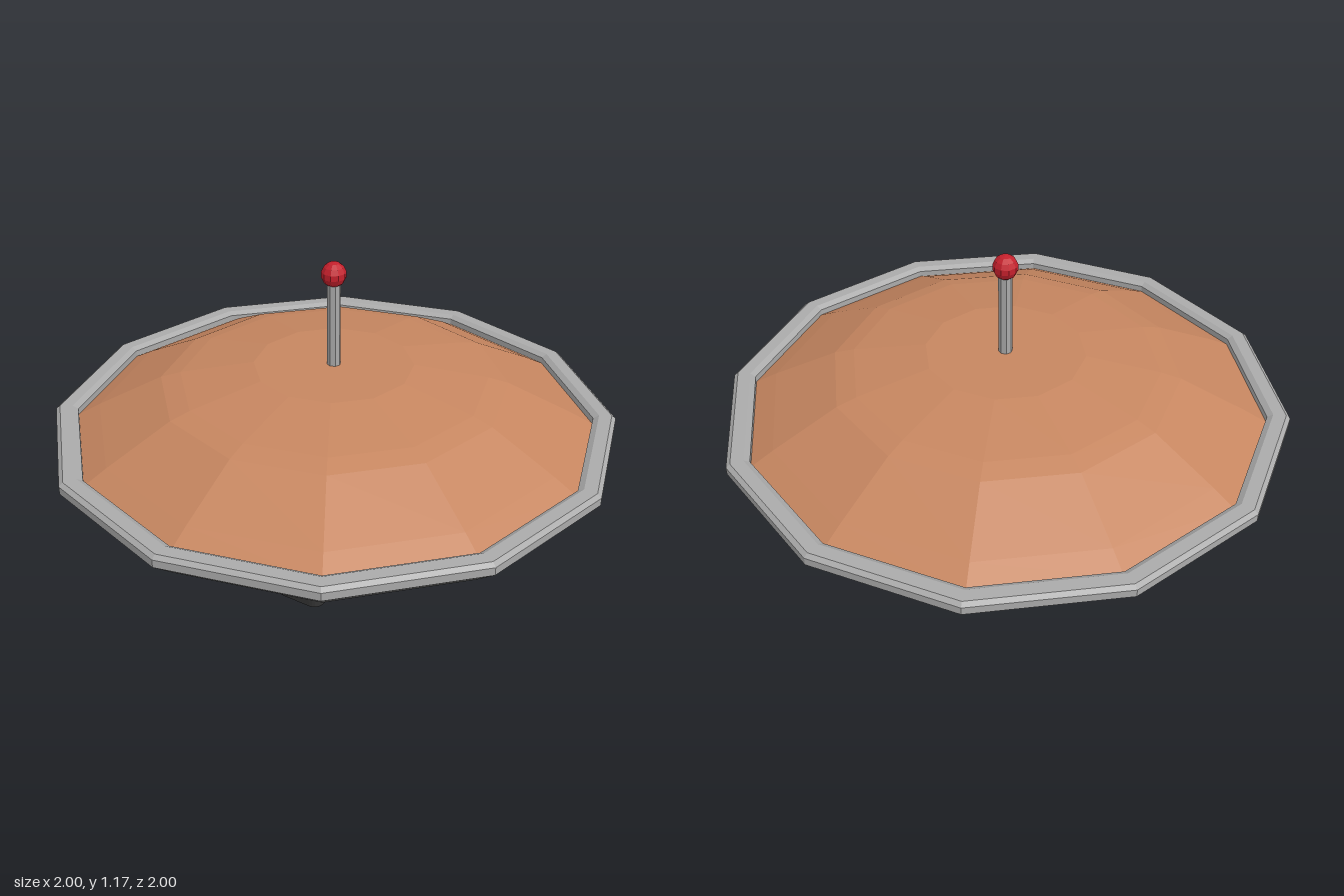
import * as THREE from 'three';

const SIDES = 12;
const material = color => new THREE.MeshStandardMaterial({ color, flatShading: true });

function addMesh(parent, name, geometry, mat, x = 0, y = 0, z = 0) {
  const mesh = new THREE.Mesh(geometry, mat);
  mesh.name = name;
  mesh.position.set(x, y, z);
  parent.add(mesh);
  return mesh;
}

// Twelve-sided turned shape from [radius, height] pairs, listed upwards on the outside
const turned = points =>
  new THREE.LatheGeometry(points.map(([r, y]) => new THREE.Vector2(r, y)), SIDES);

// Flat shoe with round ends, its top sloping down to the toe
function shoeGeometry() {
  const r = 0.038, toe = 0.109;
  const outline = new THREE.Shape();
  outline.absarc(0, 0, r, Math.PI / 2, Math.PI * 1.5, false);
  outline.absarc(toe, 0, r, -Math.PI / 2, Math.PI / 2, false);
  const geometry = new THREE.ExtrudeGeometry(outline, { depth: 0.055, bevelEnabled: false, curveSegments: 5 });
  geometry.rotateX(-Math.PI / 2);
  const p = geometry.attributes.position;
  for (let i = 0; i < p.count; i++) {
    if (p.getY(i) > 0.01) p.setY(i, 0.055 - 0.2 * Math.max(0, p.getX(i)));
  }
  geometry.computeVertexNormals();
  return geometry;
}

export function createModel() {
  const model = new THREE.Group();
  model.name = 'saucer';
  const grey = material(0xaaaaaa);
  const black = material(0x333333);

  // Hull, rim and dome
  addMesh(model, 'hull', turned([
    [0, 0.275], [0.54, 0.275], [0.765, 0.385], [0.91, 0.48], [1, 0.56],
  ]), material(0x636363));
  addMesh(model, 'rim', turned([
    [0.92, 0.56], [1, 0.56], [1, 0.588], [0.985, 0.6], [0.94, 0.6], [0.92, 0.588], [0.92, 0.56],
  ]), grey);
  addMesh(model, 'dome', turned([
    [0.92, 0.565], [0.84, 0.61], [0.61, 0.725], [0.54, 0.745], [0.28, 0.79], [0, 0.79],
  ]), material(0xc68660));

  // Antenna with a ball on top
  addMesh(model, 'antenna', new THREE.CylinderGeometry(0.024, 0.024, 0.32, 8), grey, 0, 0.94);
  addMesh(model, 'antennaBall', new THREE.SphereGeometry(0.044, 10, 7), material(0xc4202c), 0, 1.125);

  // Two legs with shoes pointing along +x
  for (const [side, z] of [['front', 0.31], ['back', -0.282]]) {
    const leg = new THREE.Group();
    leg.name = side + 'Leg';
    leg.position.set(0.004, 0, z);
    addMesh(leg, 'shin', new THREE.CylinderGeometry(0.039, 0.039, 0.255, 10), black, 0, 0.155);
    addMesh(leg, 'shoe', shoeGeometry(), black);
    model.add(leg);
  }
  return model;
}
